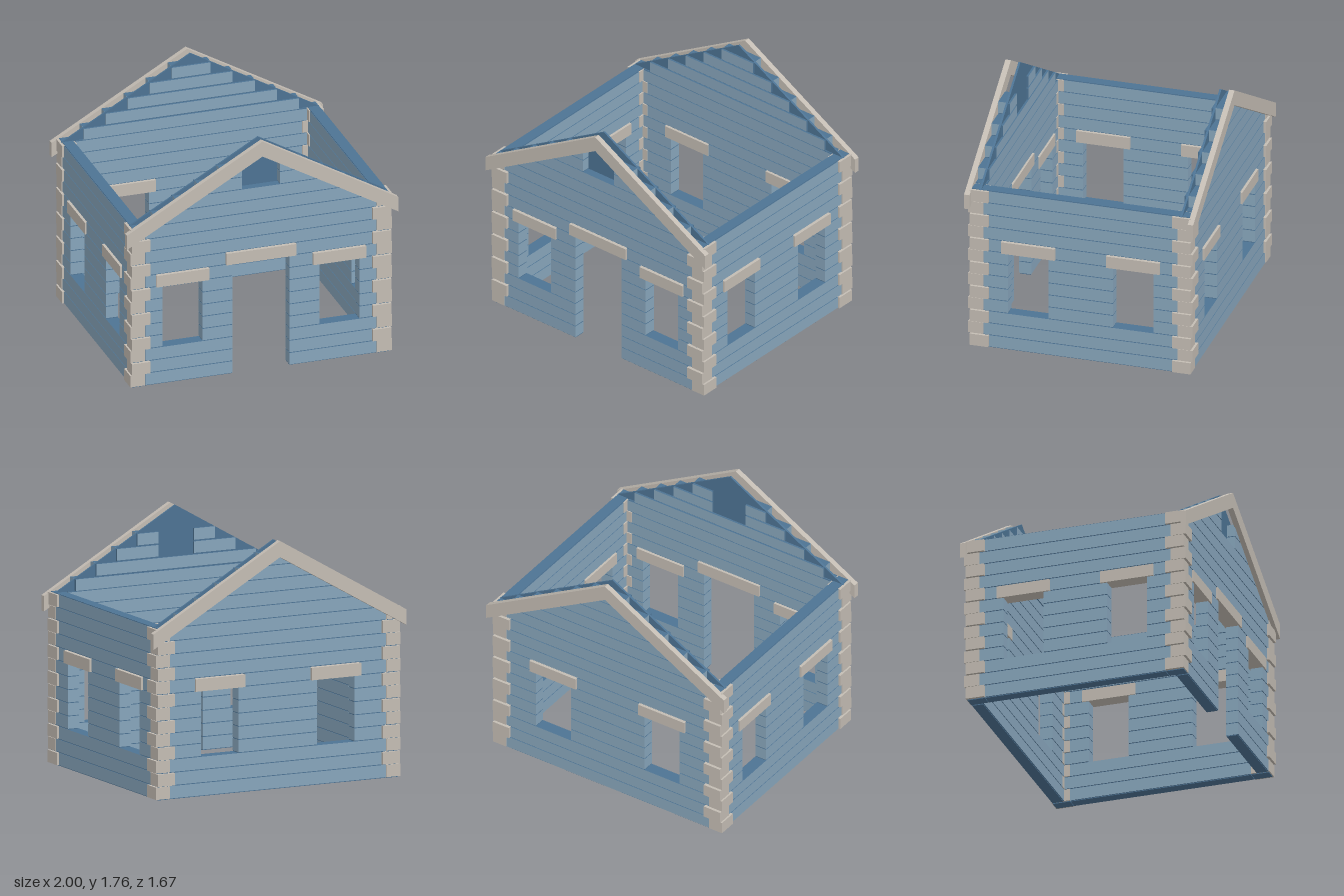
import * as THREE from 'three';

const ROW = 1.215 / 13;   // height of one log course
const JOINT = 0.006;      // dark joint between courses
const ROWS = 13;

export function createModel() {
  const make = (name, color) => {
    const m = new THREE.MeshStandardMaterial({ color });
    m.name = name;
    return m;
  };
  const blue = make('light blue logs', 0x87a5bb);
  const dark = make('dark blue joints', 0x4d7393);
  const beige = make('beige trim', 0xc3bcb3);
  const logMats = [blue, blue, dark, dark, blue, blue];
  const plankMats = [dark, dark, dark, dark, blue, blue];

  const house = new THREE.Group();
  house.name = 'logHouse';

  const box = (parent, name, mat, x0, x1, y0, y1, z0, z1) => {
    const mesh = new THREE.Mesh(new THREE.BoxGeometry(x1 - x0, y1 - y0, z1 - z0), mat);
    mesh.position.set((x0 + x1) / 2, (y0 + y1) / 2, (z0 + z1) / 2);
    mesh.name = name;
    parent.add(mesh);
  };

  // Remaining spans of a log from -half to half once the gaps are cut out
  const spans = (half, gaps) => {
    const out = [];
    let start = -half;
    for (const [a, b] of [...gaps].sort((p, q) => p[0] - q[0])) {
      out.push([start, a]);
      start = b;
    }
    out.push([start, half]);
    return out;
  };

  // Wall built along local x, outer face towards +z.
  // Openings: a..b along the wall, rows r0 up to r1, lintel in row r1.
  const wall = (name, inner, outer, halfEven, halfOdd, openings) => {
    const g = new THREE.Group();
    g.name = name;
    for (let r = 0; r < ROWS; r++) {
      const y = r * ROW;
      const gaps = [];
      for (const o of openings) {
        if (r >= o.r0 && r < o.r1) gaps.push([o.a, o.b]);
        if (r === o.r1) gaps.push([o.a - 0.05, o.b + 0.05]);
      }
      for (const [a, b] of spans(r % 2 ? halfOdd : halfEven, gaps)) {
        box(g, 'log', logMats, a, b, y + JOINT, y + ROW, inner, outer);
        box(g, 'joint', dark, a + 0.002, b - 0.002, y, y + JOINT, inner + 0.006, outer - 0.006);
      }
    }
    for (const o of openings) {
      const y = o.r1 * ROW;
      box(g, 'lintel', beige, o.a - 0.048, o.b + 0.048, y, y + ROW - 0.005, inner - 0.008, outer + 0.012);
    }
    const half = halfEven - 0.002;
    box(g, 'topJoint', dark, -half, half, 1.215, 1.219, inner + 0.005, outer - 0.005);
    house.add(g);
    return g;
  };

  const pair = (a, b) => [{ a, b, r0: 3, r1: 8 }, { a: -b, b: -a, r0: 3, r1: 8 }];
  const front = wall('frontWall', 0.71, 0.8, 0.853, 0.818,
    [...pair(0.43, 0.725), { a: -0.21, b: 0.21, r0: 0, r1: 9 }]);
  const back = wall('backWall', 0.71, 0.8, 0.853, 0.818, pair(0.31, 0.605));
  back.rotation.y = Math.PI;
  for (const s of [1, -1]) {
    const side = wall(s > 0 ? 'leftWall' : 'rightWall', 0.86, 0.95, 0.668, 0.708, pair(0.235, 0.53));
    side.rotation.y = s * Math.PI / 2;
  }

  // Interlocking log ends at the four corners
  for (const sx of [1, -1]) {
    for (const sz of [1, -1]) {
      const corner = new THREE.Group();
      corner.name = 'cornerLogEnds';
      const put = (name, mat, x0, x1, y0, y1, z0, z1) => box(corner, name, mat,
        Math.min(sx * x0, sx * x1), Math.max(sx * x0, sx * x1), y0, y1,
        Math.min(sz * z0, sz * z1), Math.max(sz * z0, sz * z1));
      for (let r = 0; r < ROWS; r++) {
        const y = r * ROW;
        if (r % 2) put('logEnd', beige, 0.82, 0.957, y + JOINT, y + ROW, 0.708, 0.818);
        else put('logEnd', beige, 0.855, 0.965, y + JOINT, y + ROW, 0.67, 0.805);
        put('joint', dark, 0.865, 0.945, y, y + JOINT, 0.67, 0.798);
      }
      put('topJoint', dark, 0.865, 0.945, 1.215, 1.219, 0.666, 0.798);
      house.add(corner);
    }
  }

  // Flat outline extruded from z0 by depth
  const plate = (parent, name, mat, pts, z0, depth) => {
    const shape = new THREE.Shape(pts.map(([x, y]) => new THREE.Vector2(x, y)));
    const geo = new THREE.ExtrudeGeometry(shape, { depth, bevelEnabled: false });
    const mesh = new THREE.Mesh(geo, mat);
    mesh.position.z = z0;
    mesh.name = name;
    parent.add(mesh);
  };

  // Stepped gables with a thin core sheet and sloping rake boards
  for (const w of [front, back]) {
    const gable = new THREE.Group();
    gable.name = 'gable';
    for (let r = ROWS; r < ROWS + 5; r++) {
      const y = r * ROW, top = y + ROW;
      const half = (1.765 - top) / 0.575;
      const vent = w === front && r >= 15 ? [[-0.14, 0.14]] : [];
      for (const [a, b] of spans(half, vent)) {
        if (b - a < 0.01) continue;
        box(gable, 'gableLog', logMats, a, b, y + JOINT, top, 0.74, 0.8);
        box(gable, 'gableInnerLog', plankMats, a, b, y + JOINT, top - 0.006, 0.71, 0.725);
        box(gable, 'joint', dark, a + 0.002, b - 0.002, y, y + JOINT, 0.716, 0.794);
      }
    }
    plate(gable, 'gableCore', dark, [[-0.95, 1.215], [0.95, 1.215], [0, 1.76]], 0.725, 0.015);
    plate(gable, 'rakeBoards', beige,
      [[-1, 1.08], [0, 1.65], [1, 1.08], [1, 1.19], [0, 1.765], [-1, 1.19]], 0.795, 0.04);
    w.add(gable);
  }

  return house;
}
